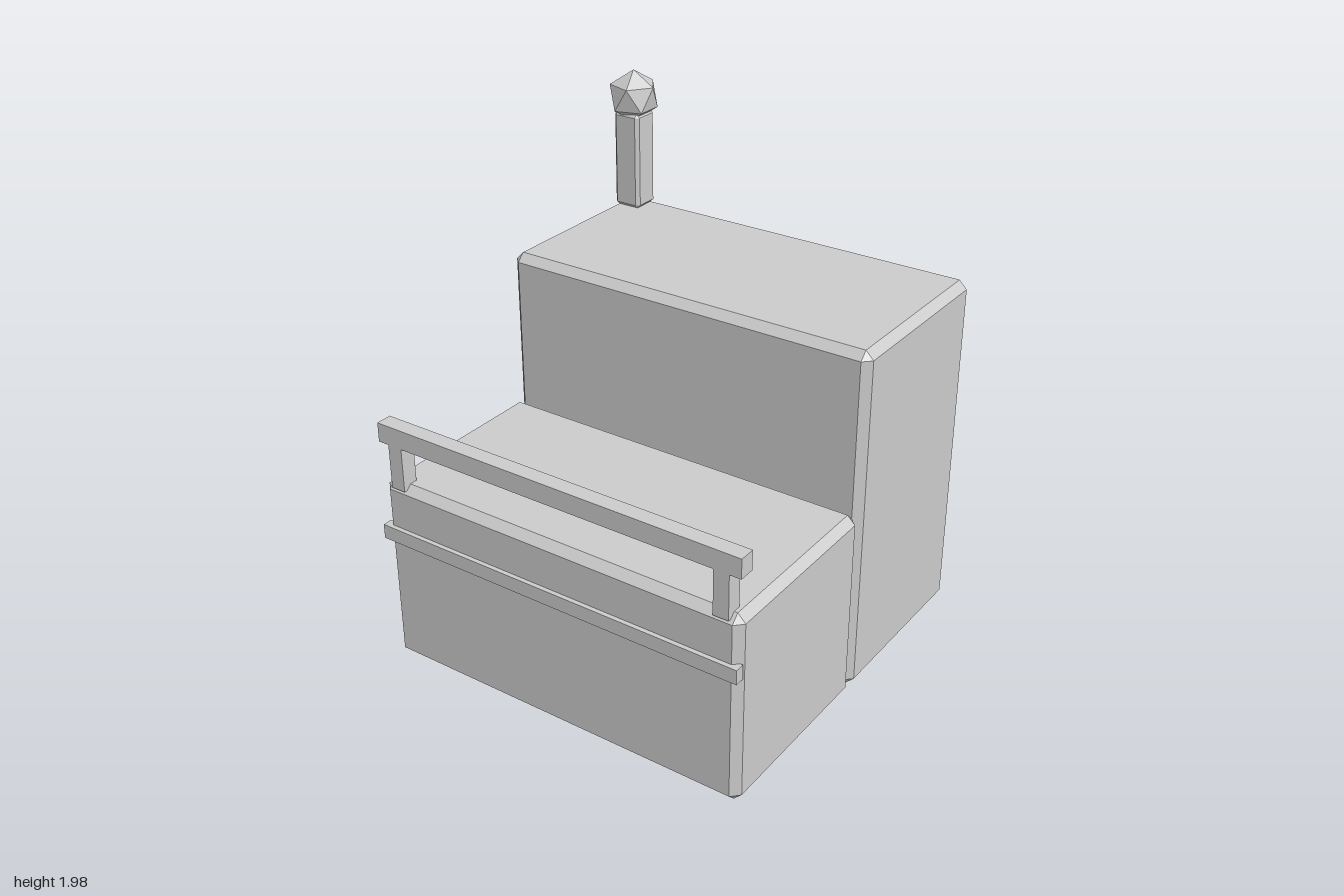
import * as THREE from 'three';
import { ConvexGeometry } from 'three/addons/geometries/ConvexGeometry.js';

const material = new THREE.MeshStandardMaterial({ color: 0xcccccc, flatShading: true });

// Mesh spanning [min, max]; with a chamfer c every edge is cut flat.
function block(name, min, max, c = 0) {
  const half = max.map((m, i) => (m - min[i]) / 2);
  let geometry;
  if (c > 0) {
    const points = [];
    for (const sx of [-1, 1]) for (const sy of [-1, 1]) for (const sz of [-1, 1]) {
      for (let axis = 0; axis < 3; axis++) {
        const p = half.map((h, i) => (i === axis ? h : h - c));
        points.push(new THREE.Vector3(sx * p[0], sy * p[1], sz * p[2]));
      }
    }
    geometry = new ConvexGeometry(points);
  } else {
    geometry = new THREE.BoxGeometry(...half.map((h) => 2 * h));
  }
  const mesh = new THREE.Mesh(geometry, material);
  mesh.name = name;
  mesh.position.set(...min.map((m, i) => m + half[i]));
  return mesh;
}

export function createModel() {
  const model = new THREE.Group();
  model.name = 'house';
  const left = 0.793, right = -0.779;

  // Low front and tall rear volumes
  model.add(block('frontBlock', [right, 0.02, -0.003], [left, 0.805, 0.786], 0.032));
  model.add(block('rearBlock', [right, 0.02, -0.788], [left, 1.435, -0.003], 0.032));

  // Terrace railing on two posts
  const railing = new THREE.Group();
  railing.name = 'railing';
  railing.add(block('handrail', [right, 0.965, 0.722], [left, 1.043, 0.787]));
  for (const side of [-1, 1]) {
    const x = 0.007 + side * 0.709;
    railing.add(block(side > 0 ? 'leftPost' : 'rightPost',
      [x - 0.031, 0.785, 0.722], [x + 0.031, 0.965, 0.787]));
  }
  model.add(railing);

  // Trim strip across the front wall
  model.add(block('trimStrip', [right, 0.557, 0.765], [left, 0.616, 0.804]));

  // Chimney with a faceted ball, one vertex pointing up
  model.add(block('chimney', [-0.761, 1.435, -0.771], [-0.641, 1.835, -0.651], 0.014));
  const ballGeometry = new THREE.IcosahedronGeometry(0.107, 0);
  ballGeometry.rotateZ(-Math.atan(2 / (1 + Math.sqrt(5))));
  const ball = new THREE.Mesh(ballGeometry, material);
  ball.name = 'chimneyBall';
  ball.position.set(-0.701, 1.893, -0.711);
  model.add(ball);

  return model;
}
